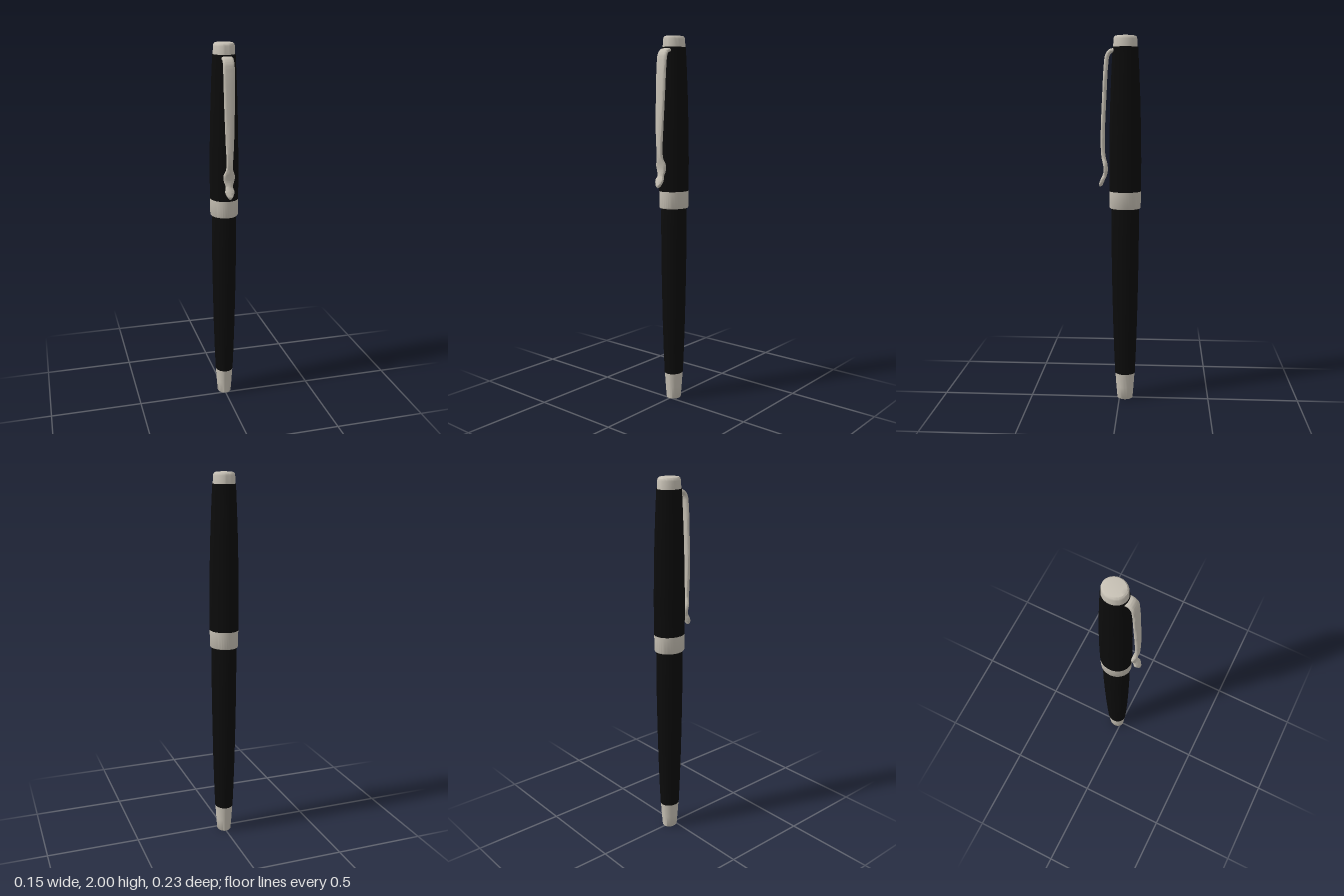
import * as THREE from 'three';
import { toCreasedNormals } from 'three/addons/utils/BufferGeometryUtils.js';

const AXIS_Z = -0.031; // the body sits behind the clip
const DEPTH = 1.13; // the body is slightly oval, deeper than wide

// Oval turned part from [radius, height] points, bottom to top
function turned(name, points, material) {
  const profile = points.map(([r, y]) => new THREE.Vector2(r, y));
  const geometry = new THREE.LatheGeometry(profile, 36);
  geometry.scale(1, 1, DEPTH);
  geometry.translate(0, 0, AXIS_Z);
  const mesh = new THREE.Mesh(toCreasedNormals(geometry, 0.6), material);
  mesh.name = name;
  return mesh;
}

// Bent strip: each station is [half width, y, z] along the clip's centre line
function clipGeometry(stations, halfThickness) {
  const curve = new THREE.CatmullRomCurve3(stations.map((s) => new THREE.Vector3(...s)));
  const rows = 84, sides = 16;
  const positions = [], indices = [];
  for (let i = 0; i <= rows; i++) {
    const p = curve.getPoint(i / rows);
    const t = curve.getTangent(i / rows).setX(0).normalize();
    const thick = halfThickness * Math.min(1, 0.2 + (rows - i) / 5);
    for (let j = 0; j < sides; j++) {
      const a = (j / sides) * Math.PI * 2;
      const round = (v) => Math.sign(v) * Math.pow(Math.abs(v), 0.65);
      const u = round(Math.cos(a)) * Math.max(p.x, 0.001);
      const v = round(Math.sin(a)) * thick;
      positions.push(u, p.y + t.z * v, p.z - t.y * v);
      if (i < rows) {
        const k = i * sides + j, n = i * sides + ((j + 1) % sides);
        indices.push(k, n, n + sides, k, n + sides, k + sides);
      }
    }
  }
  // Close the tip
  const last = rows * sides;
  for (let j = 1; j < sides - 1; j++) indices.push(last, last + j, last + j + 1);
  const geometry = new THREE.BufferGeometry();
  geometry.setAttribute('position', new THREE.Float32BufferAttribute(positions, 3));
  geometry.setIndex(indices);
  return toCreasedNormals(geometry, 0.8);
}

export function createModel() {
  const black = new THREE.MeshStandardMaterial({ color: 0x0b0b0b });
  black.name = 'black lacquer';
  const silver = new THREE.MeshStandardMaterial({ color: 0xc6c0b4 });
  silver.name = 'warm silver';

  const pen = new THREE.Group();
  pen.name = 'pen';

  // Barrel and its metal end
  pen.add(turned('barrelEnd', [
    [0, 0], [0.035, 0], [0.038, 0.004], [0.043, 0.07], [0.048, 0.152], [0, 0.152],
  ], silver));
  pen.add(turned('barrel', [
    [0, 0.15], [0.049, 0.15], [0.054, 0.28], [0.059, 0.45], [0.063, 0.65],
    [0.066, 0.87], [0.066, 1.07], [0.064, 1.1],
  ], black));

  // Cap with its band and top
  pen.add(turned('capBand', [
    [0.06, 1.087], [0.072, 1.087], [0.0745, 1.091], [0.0755, 1.18], [0.07, 1.183],
  ], silver));
  pen.add(turned('cap', [
    [0.07, 1.18], [0.0762, 1.18], [0.0762, 1.35], [0.0745, 1.5], [0.0705, 1.67],
    [0.065, 1.82], [0.0595, 1.94], [0, 1.94],
  ], black));
  pen.add(turned('capTop', [
    [0.05, 1.937], [0.057, 1.938], [0.0555, 1.98], [0.053, 1.991],
    [0.047, 1.997], [0.03, 1.9995], [0, 2],
  ], silver));

  // Pocket clip with a flared, upturned tip
  const clip = new THREE.Mesh(clipGeometry([
    [0.029, 1.922, 0.015], [0.029, 1.92, 0.045], [0.03, 1.899, 0.063], [0.03, 1.85, 0.071],
    [0.028, 1.7, 0.08], [0.022, 1.5, 0.089], [0.017, 1.4, 0.089], [0.019, 1.36, 0.085],
    [0.031, 1.325, 0.077], [0.027, 1.295, 0.074], [0.019, 1.268, 0.079],
    [0.025, 1.243, 0.09], [0.015, 1.219, 0.1], [0.003, 1.205, 0.106],
  ], 0.011), silver);
  clip.name = 'clip';
  pen.add(clip);

  return pen;
}
